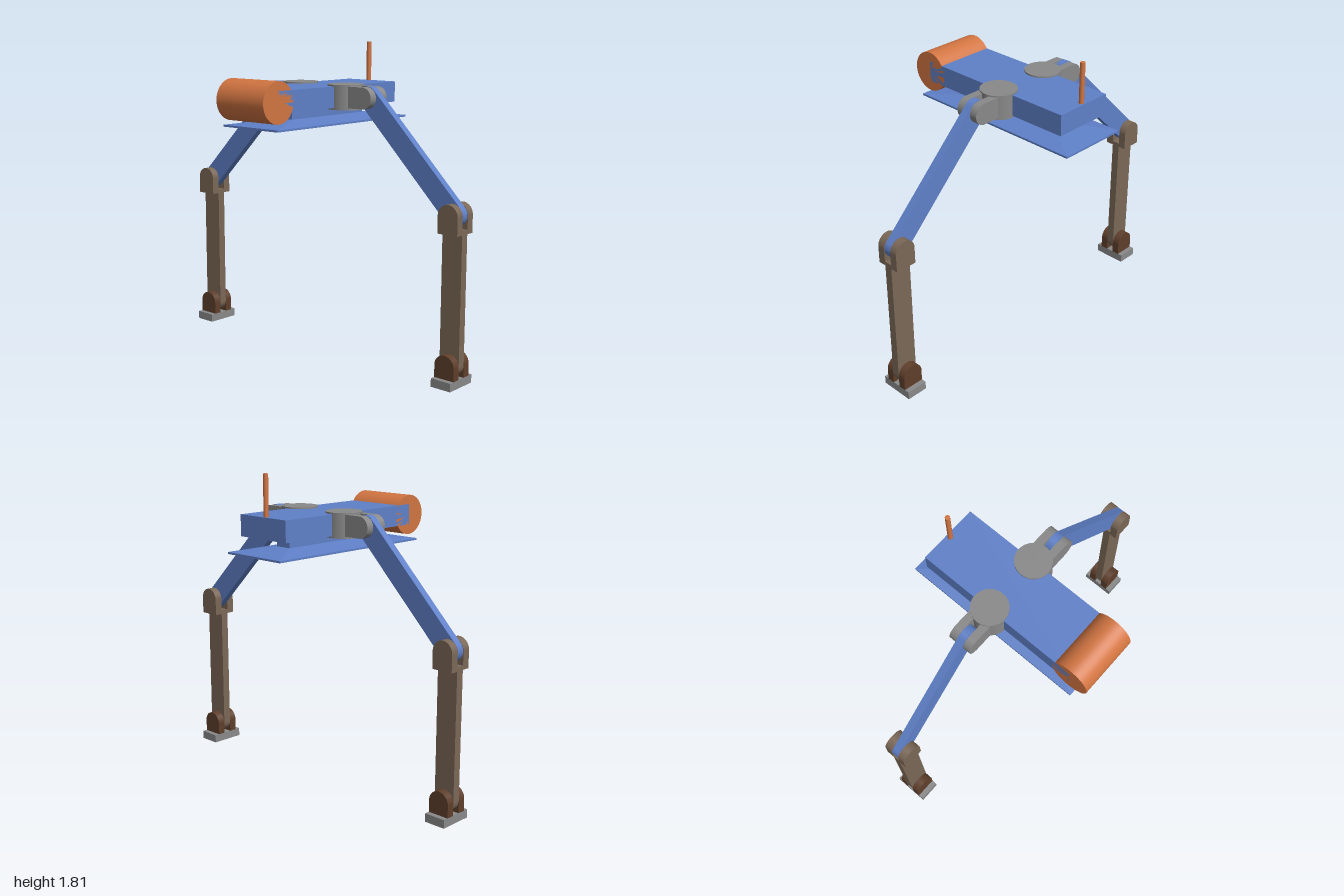
import * as THREE from 'three';

const mat = (name, color) => {
  const m = new THREE.MeshStandardMaterial({ color });
  m.name = name;
  return m;
};

export function createModel() {
  const blue = mat('blue', 0x5f80c8);
  const orange = mat('orange', 0xd27542);
  const gray = mat('gray', 0x898989);
  const brown = mat('brown', 0x7b6857);
  const darkBrown = mat('dark brown', 0x5f3f2c);

  const root = new THREE.Group();
  root.name = 'walker';
  const legZ = -0.07;

  const add = (parent, name, geometry, material, x, y, z) => {
    const mesh = new THREE.Mesh(geometry, material);
    mesh.name = name;
    mesh.position.set(x, y, z);
    parent.add(mesh);
    return mesh;
  };

  // Flat bar from a pivot at the origin along -y, round at the pivot, optionally round at the far end
  const bar = (length, r, depth, roundEnd) => {
    const s = new THREE.Shape();
    s.moveTo(r, 0);
    s.absarc(0, 0, r, 0, Math.PI, false);
    s.lineTo(-r, -length);
    if (roundEnd) s.absarc(0, -length, r, Math.PI, Math.PI * 2, false);
    else s.lineTo(r, -length);
    s.closePath();
    const g = new THREE.ExtrudeGeometry(s, { depth, bevelEnabled: false, curveSegments: 24 });
    return g.translate(0, 0, -depth / 2);
  };

  // Pair of lugs holding a bar between them
  const clevis = (parent, name, length, r, material, x, y, angle = 0) => {
    for (const side of [-1, 1]) {
      const lug = add(parent, name, bar(length, r, 0.046, false), material, x, y, legZ + side * 0.047);
      lug.rotation.z = angle;
    }
  };

  // Body
  const body = new THREE.Group();
  body.name = 'body';
  root.add(body);
  add(body, 'hull', new THREE.BoxGeometry(0.356, 0.12, 0.99), blue, -0.003, 1.518, -0.022);
  add(body, 'neck', new THREE.BoxGeometry(0.1, 0.06, 0.606), blue, -0.003, 1.43, -0.067);
  add(body, 'bellyPlate', new THREE.BoxGeometry(0.414, 0.011, 1.1), blue, -0.003, 1.3705, -0.038);

  // Sloped top of the belly plate, drawn in towards the neck
  const slope = new THREE.BoxGeometry(0.414, 0.024, 1.1);
  const p = slope.attributes.position;
  for (let i = 0; i < p.count; i++) {
    if (p.getY(i) > 0) {
      p.setX(i, Math.sign(p.getX(i)) * 0.05);
      p.setZ(i, Math.sign(p.getZ(i)) * 0.303 - 0.029);
    }
  }
  slope.computeVertexNormals();
  add(body, 'bellySlope', slope, blue, -0.003, 1.388, -0.038);

  // Front drum and rear antenna
  const drum = new THREE.CylinderGeometry(0.115, 0.115, 0.356, 48).rotateZ(Math.PI / 2);
  add(body, 'drum', drum, orange, -0.003, 1.516, 0.474);
  add(body, 'antenna', new THREE.CylinderGeometry(0.014, 0.014, 0.25, 20), orange, -0.007, 1.683, -0.495);

  // Legs
  for (const side of [1, -1]) {
    const leg = new THREE.Group();
    leg.name = side > 0 ? 'leftLeg' : 'rightLeg';
    root.add(leg);
    const kneeX = side * 0.935, kneeY = 0.938;
    const hipX = side * 0.352, hipY = 1.519;

    add(leg, 'shoulderHub', new THREE.CylinderGeometry(0.103, 0.103, 0.14, 40), gray, side * 0.174, 1.517, legZ);
    clevis(leg, 'shoulderLug', 0.15, 0.06, gray, hipX, hipY, -side * Math.PI / 2);

    const dx = kneeX - hipX, dy = kneeY - hipY;
    const arm = add(leg, 'upperLeg', bar(Math.hypot(dx, dy), 0.062, 0.044, true), blue, hipX, hipY, legZ);
    arm.rotation.z = Math.atan2(dx, -dy);

    clevis(leg, 'kneeLug', 0.098, 0.063, brown, kneeX, kneeY);

    // Shin: square at the knee, round at the ankle
    const shin = add(leg, 'shin', bar(0.745, 0.0625, 0.047, false), brown, kneeX, 0.118, legZ);
    shin.rotation.z = Math.PI;

    clevis(leg, 'ankleLug', 0.07, 0.063, darkBrown, kneeX, 0.118);
    add(leg, 'foot', new THREE.BoxGeometry(0.126, 0.048, 0.2), gray, kneeX, 0.024, legZ);
  }
  return root;
}
